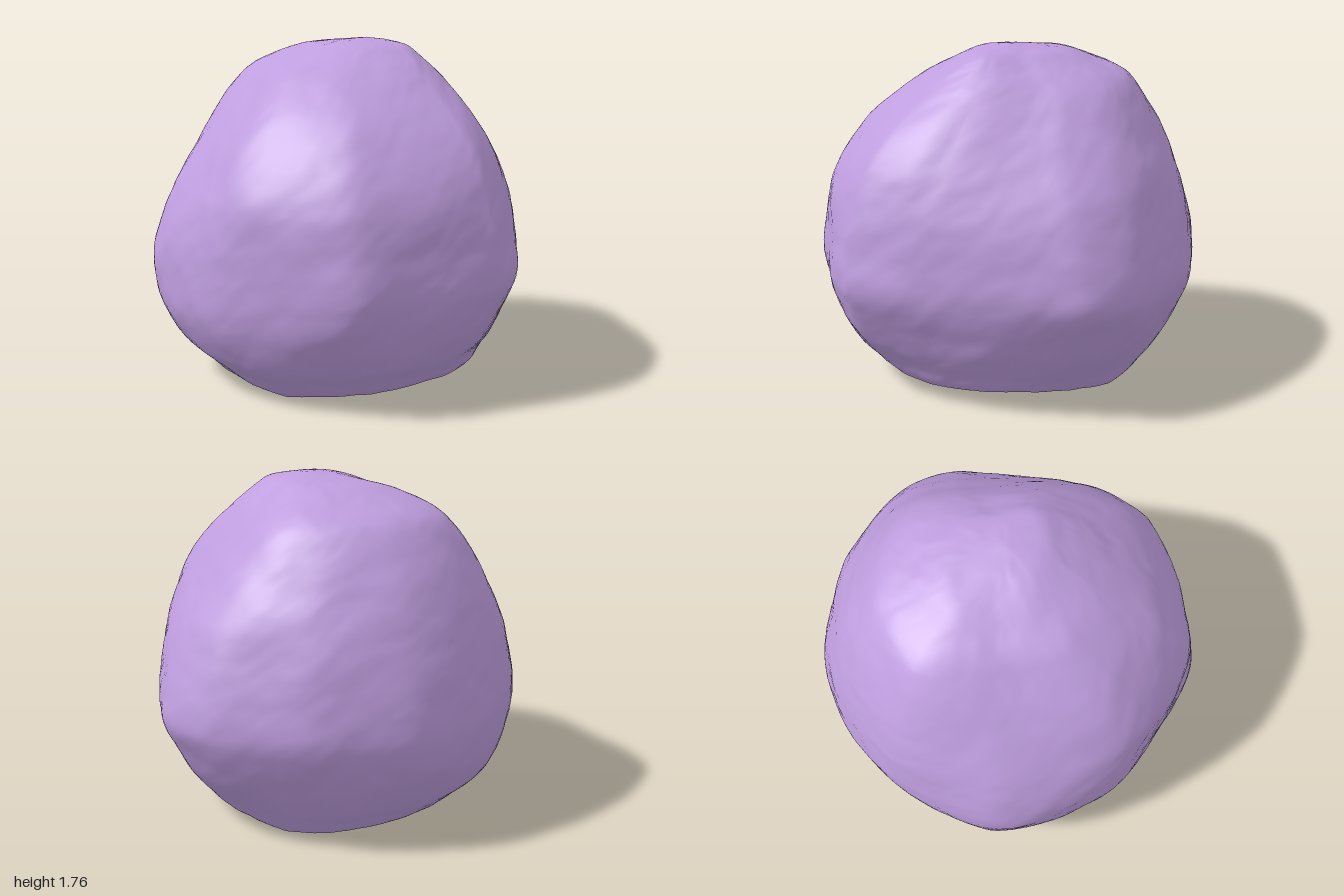
import * as THREE from 'three';
import { mergeVertices } from 'three/addons/utils/BufferGeometryUtils.js';

// Plan outline of the boulder (x, z), starting at its left corner
const OUTLINE = [
  [1, 0.25], [0.95, 0], [0.88, -0.2], [0.78, -0.45], [0.65, -0.7], [0.53, -0.87],
  [0.28, -0.985], [0, -0.975], [-0.24, -0.95], [-0.45, -0.86], [-0.7, -0.71],
  [-0.86, -0.5], [-0.95, -0.28], [-1, 0], [-0.97, 0.28], [-0.88, 0.58],
  [-0.7, 0.76], [-0.45, 0.9], [-0.22, 0.98], [0, 0.985], [0.3, 0.96],
  [0.52, 0.9], [0.68, 0.73], [0.85, 0.53], [0.96, 0.36],
];

// Extents of each level: y, min x, max x, min z, max z
const LEVELS = [
  [0.07, 0, 0, 0, 0],
  [0.05, -0.36, 0.36, -0.34, 0.36],
  [0.005, -0.62, 0.64, -0.58, 0.63],
  [0.025, -0.7, 0.7, -0.65, 0.71],
  [0.1, -0.79, 0.75, -0.71, 0.79],
  [0.2, -0.88, 0.81, -0.78, 0.88],
  [0.4, -0.97, 0.91, -0.9, 0.97],
  [0.6, -1, 0.995, -0.985, 0.99],
  [0.8, -0.985, 0.975, -0.965, 0.985],
  [1.0, -0.945, 0.935, -0.91, 0.955],
  [1.2, -0.875, 0.85, -0.83, 0.865],
  [1.4, -0.775, 0.7, -0.71, 0.71],
  [1.58, -0.64, 0.5, -0.57, 0.49],
  [1.67, -0.46, 0.38, -0.4, 0.3],
  [1.735, -0.22, 0.27, -0.25, 0.14],
  [1.76, 0.07, 0.07, -0.05, -0.05],
];

// Small weathered bumps, stretched sideways
function bumps(x, y, z) {
  let sum = 0, amp = 0.005, f = 5;
  for (let k = 0; k < 5; k++) {
    sum += amp * Math.sin(f * x + 1.7 * Math.sin(f * 0.8 * z + k))
      * Math.sin(f * 1.6 * y + 1.5 * Math.sin(f * 0.7 * x + 2 * k) + f * 0.5 * z);
    amp *= 0.62;
    f *= 1.8;
  }
  return sum;
}

function boulderGeometry(rows = 110, cols = 160) {
  const { lerp, smoothstep } = THREE.MathUtils;
  const curve = (pts, closed) => new THREE.CatmullRomCurve3(pts, closed, 'catmullrom', 0.45);
  const plan = curve(OUTLINE.map(([x, z]) => new THREE.Vector3(x, 0, z)), true);
  const widths = curve(LEVELS.map(([y, a, b]) => new THREE.Vector3(a, y, b)), false);
  const depths = curve(LEVELS.map(([y, , , a, b]) => new THREE.Vector3(a, y, b)), false);
  const ring = Array.from({ length: cols }, (_, j) => plan.getPoint(j / cols));
  const positions = [], index = [];
  const center = new THREE.Vector3(0, 0.8, 0), p = new THREE.Vector3(), dir = new THREE.Vector3();

  for (let i = 0; i <= rows; i++) {
    const w = widths.getPoint(i / rows), d = depths.getPoint(i / rows), y = w.y;
    // Angular at the waist, rounder towards the base and the crown
    const round = y < 0.6 ? 1.5 * (0.6 - y) : 0.6 * (y - 0.6);
    const slope = 0.23 * smoothstep(y, 0.6, 1.7);
    for (let j = 0; j < cols; j++) {
      const r = Math.hypot(ring[j].x, ring[j].z);
      const cos = ring[j].x / r, sin = ring[j].z / r;
      // Two opposite upper shoulders slope in more than the others
      const shoulder = Math.max(0, -2 * sin * cos) ** 1.5 * (cos < 0 ? 1 : 0.7);
      const size = lerp(r, 1, round) * (1 - slope * shoulder);
      // Fit the plan outline into this level's extents
      p.set(
        lerp(w.x, w.z, (cos * size + 1) / 2),
        y,
        lerp(d.x, d.z, (sin * size + 0.99) / 1.98),
      );
      // The underside rises towards both sides, most at the back left
      const low = 1 - smoothstep(y, 0, 0.35);
      const rise = p.x > 0 ? 0.1 + 0.12 * Math.max(0, -p.z) : 0.05;
      p.y += low * rise * Math.abs(p.x);
      dir.copy(p).sub(center).normalize();
      p.addScaledVector(dir, bumps(p.x, p.y, p.z));
      p.y = Math.max(p.y, 0);
      positions.push(p.x, p.y, p.z);
      if (i < rows) {
        const a = i * cols + j, b = i * cols + (j + 1) % cols;
        index.push(a, b, b + cols, a, b + cols, a + cols);
      }
    }
  }
  const raw = new THREE.BufferGeometry();
  raw.setAttribute('position', new THREE.Float32BufferAttribute(positions, 3));
  raw.setIndex(index);
  const geometry = mergeVertices(raw, 1e-5); // joins the two poles
  geometry.computeVertexNormals();
  return geometry;
}

export function createModel() {
  const group = new THREE.Group();
  group.name = 'rock';
  const stone = new THREE.MeshStandardMaterial({ color: 0xbf9edf });
  stone.name = 'lilac stone';
  const boulder = new THREE.Mesh(boulderGeometry(), stone);
  boulder.name = 'boulder';
  group.add(boulder);
  return group;
}
